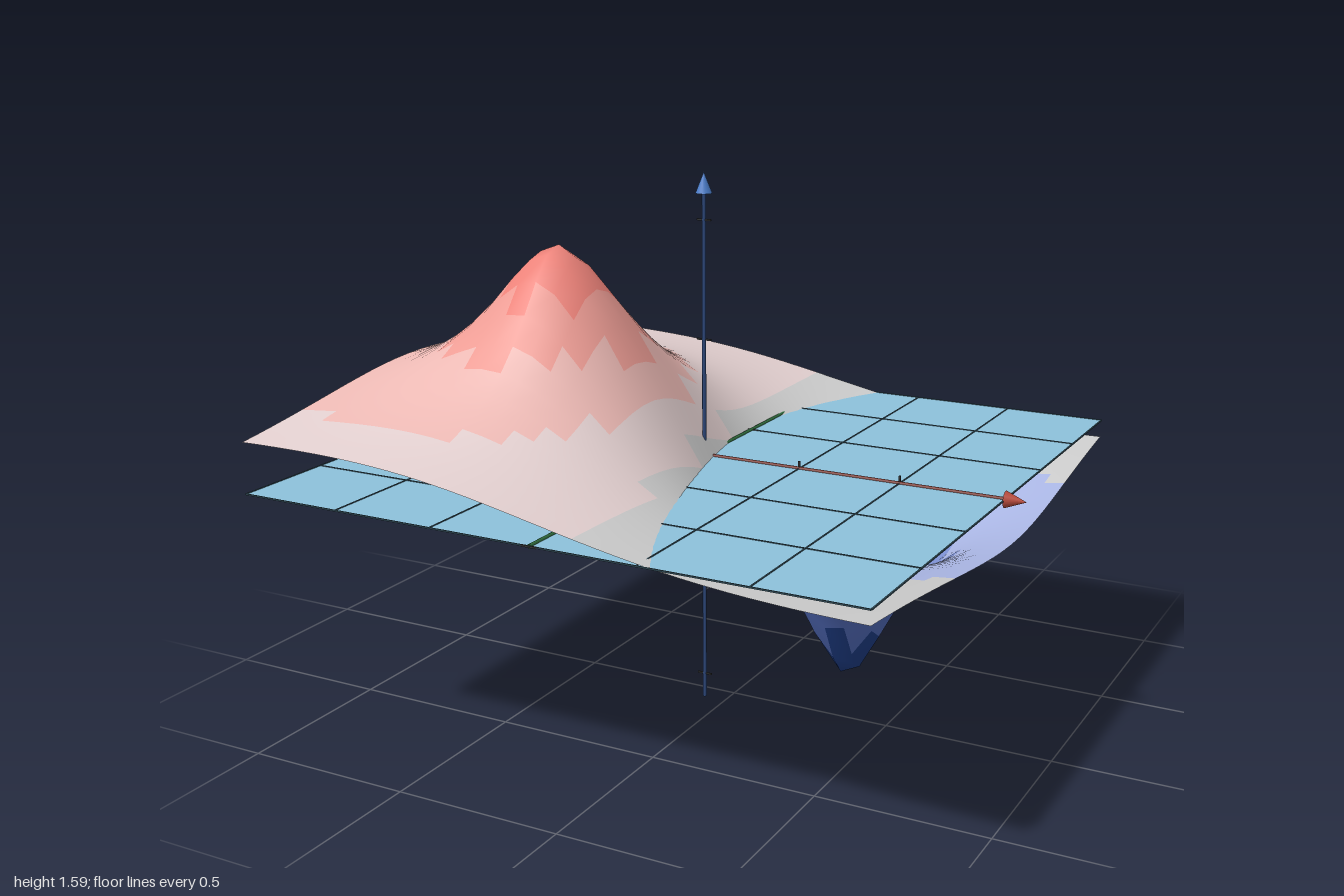
import * as THREE from 'three';

const CX = -0.07, CZ = 0.06, ZERO = 0.765; // plot origin
const UNIT = 0.307, HALF = 0.92, CELLS = 30;
const LOW = 0.08, HIGH = 1.385;
const BANDS = [0x1d3b82, 0x4f68b5, 0x8094d8, 0xaab6e4, 0xc4c8c8, 0xe2cfcf, 0xecb9b4, 0xee9d95, 0xee837a];

// Height field: a broad slope across x with one hill and one hollow
function height(x, z) {
  const u = x - CX, w = z - CZ;
  const bump = (bx, bz, s) => 1 / (1 + ((x - bx) ** 2 + (z - bz) ** 2) / s);
  return ZERO + 0.045 - 0.165 * u / (u * u + w * w + 0.16)
    + 0.42 * bump(-0.435, 0.265, 0.055) - 0.58 * bump(0.31, -0.14, 0.035);
}

function material(color) {
  return new THREE.MeshStandardMaterial({ color, side: THREE.DoubleSide });
}

function add(parent, name, geometry, mat, x = 0, y = 0, z = 0) {
  const mesh = new THREE.Mesh(geometry, mat);
  mesh.name = name;
  mesh.position.set(x, y, z);
  parent.add(mesh);
  return mesh;
}

// Curved sheet, its grid cells sorted into coloured height bands
function createSurface() {
  const group = new THREE.Group();
  group.name = 'surface';
  const sheet = new THREE.PlaneGeometry(2 * HALF, 2 * HALF, CELLS, CELLS);
  sheet.rotateX(-Math.PI / 2).translate(CX, 0, CZ);
  const p = sheet.attributes.position;
  for (let i = 0; i < p.count; i++) p.setY(i, height(p.getX(i), p.getZ(i)));
  sheet.computeVertexNormals();

  const faces = BANDS.map(() => []);
  for (let q = 0; q < sheet.index.count; q += 6) {
    const corners = Array.from(sheet.index.array.slice(q, q + 6));
    const mean = corners.reduce((sum, i) => sum + p.getY(i), 0) / 6;
    const band = Math.floor((mean - LOW) / (HIGH - LOW) * BANDS.length);
    faces[THREE.MathUtils.clamp(band, 0, BANDS.length - 1)].push(...corners);
  }
  faces.forEach((index, i) => {
    if (!index.length) return;
    const geometry = new THREE.BufferGeometry();
    geometry.setAttribute('position', p);
    geometry.setAttribute('normal', sheet.attributes.normal);
    geometry.setIndex(index);
    add(group, `heightBand${i + 1}`, geometry, material(BANDS[i]));
  });
  return group;
}

// Flat reference plane with thin grid lines
function createPlane() {
  const group = new THREE.Group();
  group.name = 'referencePlane';
  const plane = new THREE.PlaneGeometry(2 * HALF, 2 * HALF).rotateX(-Math.PI / 2);
  add(group, 'plane', plane, material(0x8cc0da), CX, ZERO, CZ);
  const dark = material(0x35505c);
  const line = new THREE.BoxGeometry(2 * HALF, 0.004, 0.004);
  for (let i = -3; i <= 3; i++) {
    const offset = i * HALF / 3;
    add(group, 'gridLineX', line, dark, CX, ZERO, CZ + offset);
    add(group, 'gridLineZ', line, dark, CX + offset, ZERO, CZ).rotation.y = Math.PI / 2;
  }
  return group;
}

// Axis built along +y around the plot origin: rod, arrow cone and tick marks
function createAxis(name, color, tipColor, from, to, ticks) {
  const group = new THREE.Group();
  group.name = name;
  const mat = material(color);
  const length = to - from;
  add(group, 'rod', new THREE.CylinderGeometry(0.006, 0.006, length, 10), mat, 0, (from + to) / 2, 0);
  add(group, 'arrow', new THREE.ConeGeometry(0.024, 0.06, 20), material(tipColor), 0, to + 0.03, 0);
  const dark = material(0x333333);
  for (const t of ticks) {
    add(group, 'tick', new THREE.BoxGeometry(0.045, 0.005, 0.005), dark, 0, t, 0);
  }
  group.position.set(CX, ZERO, CZ);
  return group;
}

export function createModel() {
  const model = new THREE.Group();
  model.name = 'surfacePlot';
  const steps = [-3, -2, -1, 1, 2, 3].map((i) => i * UNIT);

  const axisX = createAxis('axisX', 0x7a352c, 0xb84a3c, -HALF, HALF, steps);
  axisX.rotation.z = -Math.PI / 2;
  const axisDepth = createAxis('axisDepth', 0x2f6b3c, 0x5cb870, -HALF, HALF, steps);
  axisDepth.rotation.x = -Math.PI / 2;
  const axisUp = createAxis('axisUp', 0x2c4678, 0x4a7cc8, -ZERO, 0.765, [-0.69, -0.345, 0.345, 0.69]);

  model.add(createSurface(), createPlane(), axisX, axisDepth, axisUp);
  return model;
}
